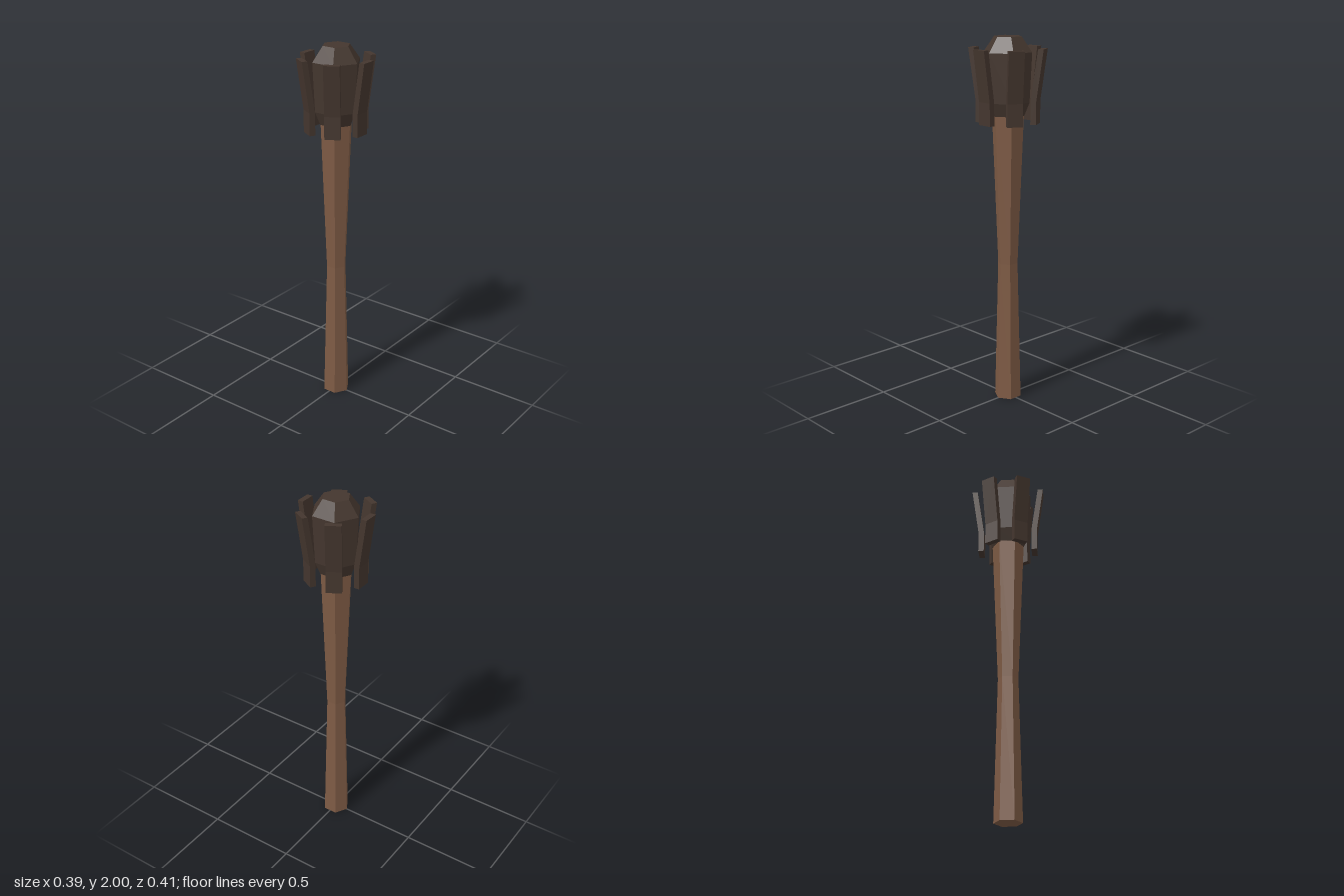
import * as THREE from 'three';

const wood = new THREE.MeshStandardMaterial({ color: 0x7d5a44 });
wood.name = 'brown wood';
const iron = new THREE.MeshStandardMaterial({ color: 0x44362e });
iron.name = 'dark iron';

// Faceted normals for every flat side
function faceted(geometry) {
  const flat = geometry.index ? geometry.toNonIndexed() : geometry;
  flat.computeVertexNormals();
  return flat;
}

// Six-sided solid from [radius, height] pairs, with corners on the z axis
function hexSolid(name, profile, material) {
  const points = profile.map(([r, y]) => new THREE.Vector2(r, y));
  const mesh = new THREE.Mesh(faceted(new THREE.LatheGeometry(points, 6)), material);
  mesh.name = name;
  return mesh;
}

export function createModel() {
  const model = new THREE.Group();
  model.name = 'mace';

  // Waisted handle
  model.add(hexSolid('handle', [[0, 0], [0.075, 0], [0.055, 0.78], [0.088, 1.6], [0, 1.6]], wood));

  // Head with bevelled top and bottom
  model.add(hexSolid('head',
    [[0, 1.59], [0.09, 1.59], [0.118, 1.66], [0.131, 1.92], [0.074, 2], [0, 2]], iron));

  // Bent plates standing around the head: upright below, leaning out above
  const width = 0.082;
  const side = new THREE.Shape([
    [0.134, 1.55], [0.165, 1.55], [0.165, 1.67], [0.203, 1.94], [0.173, 1.94], [0.134, 1.67],
  ].map(([r, y]) => new THREE.Vector2(r, y)));
  const plate = faceted(new THREE.ExtrudeGeometry(side, { depth: width, bevelEnabled: false })
    .translate(0, 0, -width / 2)
    .rotateY(-Math.PI / 2));

  const flanges = new THREE.Group();
  flanges.name = 'flanges';
  for (let i = 0; i < 6; i++) {
    const flange = new THREE.Mesh(plate, iron);
    flange.name = 'flange' + (i + 1);
    flange.rotation.y = (i * Math.PI) / 3;
    flanges.add(flange);
  }
  model.add(flanges);

  return model;
}
